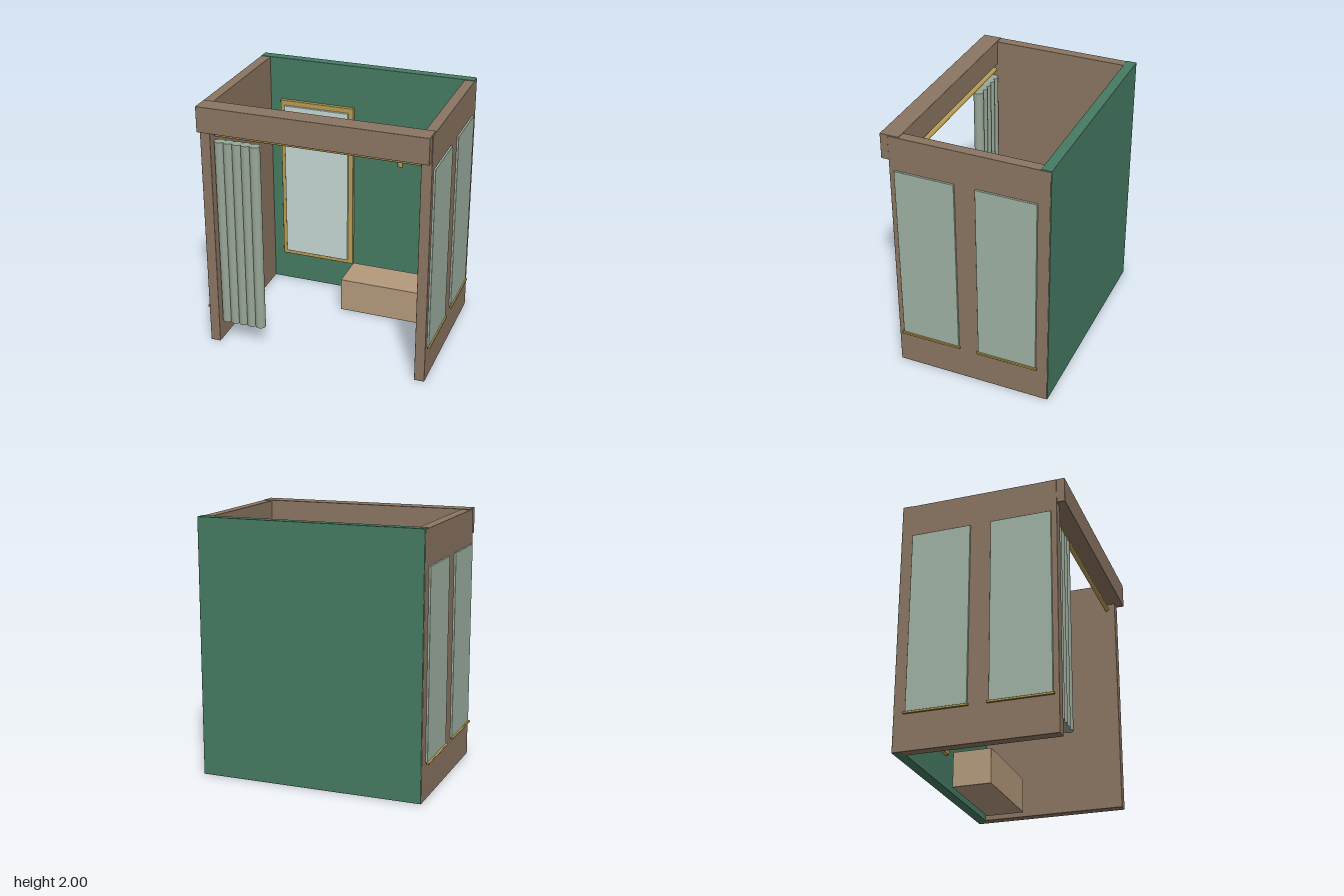
import * as THREE from 'three';
import { RoundedBoxGeometry } from 'three/addons/geometries/RoundedBoxGeometry.js';

const paint = (color) => new THREE.MeshStandardMaterial({ color });

export function createModel() {
  const group = new THREE.Group();
  const wood = paint(0x8b7562), green = paint(0x467a62), brass = paint(0xb89c50);
  const cloth = paint(0x98a798), pane = paint(0x9fb2a4), glass = paint(0xc5d6d4), oak = paint(0xb59a7c);

  const add = (name, geometry, material, x, y, z) => {
    const mesh = new THREE.Mesh(geometry, material);
    mesh.name = name;
    mesh.position.set(x, y, z);
    group.add(mesh);
    return mesh;
  };
  // Softly edged box given by its limits on each axis
  const block = (name, material, [x0, x1], [y0, y1], [z0, z1], radius = 0.004) =>
    add(name, new RoundedBoxGeometry(x1 - x0, y1 - y0, z1 - z0, 1, radius), material,
      (x0 + x1) / 2, (y0 + y1) / 2, (z0 + z1) / 2);

  // Shell of the booth, open at the top, bottom and front
  block('backWall', green, [-0.877, 0.877], [0, 2], [-0.645, -0.565]);
  block('header', wood, [-0.875, 0.875], [1.8, 2], [0.495, 0.642]);

  for (const side of [-1, 1]) {
    const span = (a, b) => (side > 0 ? [a, b] : [-b, -a]);
    block('sideWall', wood, span(0.8, 0.88), [0, 1.995], [-0.64, 0.58]);
    // Two outer panels per side, each with a brass ledge
    for (const z of [0.306, -0.318]) {
      block('sidePanel', pane, span(0.874, 0.895), [0.285, 1.727], [z - 0.232, z + 0.232]);
      block('panelLedge', brass, span(0.888, 0.907), [0.275, 0.293], [z - 0.246, z + 0.246], 0.005);
    }
  }

  // Mirror on the back wall
  block('mirrorFrame', brass, [-0.707, -0.083], [0.252, 1.652], [-0.57, -0.535]);
  block('mirrorGlass', glass, [-0.67, -0.122], [0.29, 1.612], [-0.545, -0.515]);

  // Bench
  block('bench', oak, [-0.066, 0.69], [0, 0.28], [-0.512, -0.203]);

  // Coat hooks: a peg with a square knob
  for (const x of [0.345, 0.575]) {
    const peg = add('hookPeg', new THREE.CylinderGeometry(0.012, 0.012, 0.12, 16), brass, x, 1.273, -0.51);
    peg.rotation.x = Math.PI / 2;
    block('hookKnob', brass, [x - 0.022, x + 0.022], [1.251, 1.295], [-0.457, -0.438], 0.006);
  }

  // Curtain rail and gathered curtain folds
  const rail = add('curtainRail', new THREE.CylinderGeometry(0.018, 0.018, 1.58, 24), brass, 0, 1.752, 0.515);
  rail.rotation.z = Math.PI / 2;
  for (let i = 0; i < 5; i++) {
    add('curtainFold', new THREE.CylinderGeometry(0.04, 0.04, 1.53, 24), cloth, -0.755 + i * 0.07, 0.935, 0.515);
  }
  return group;
}
